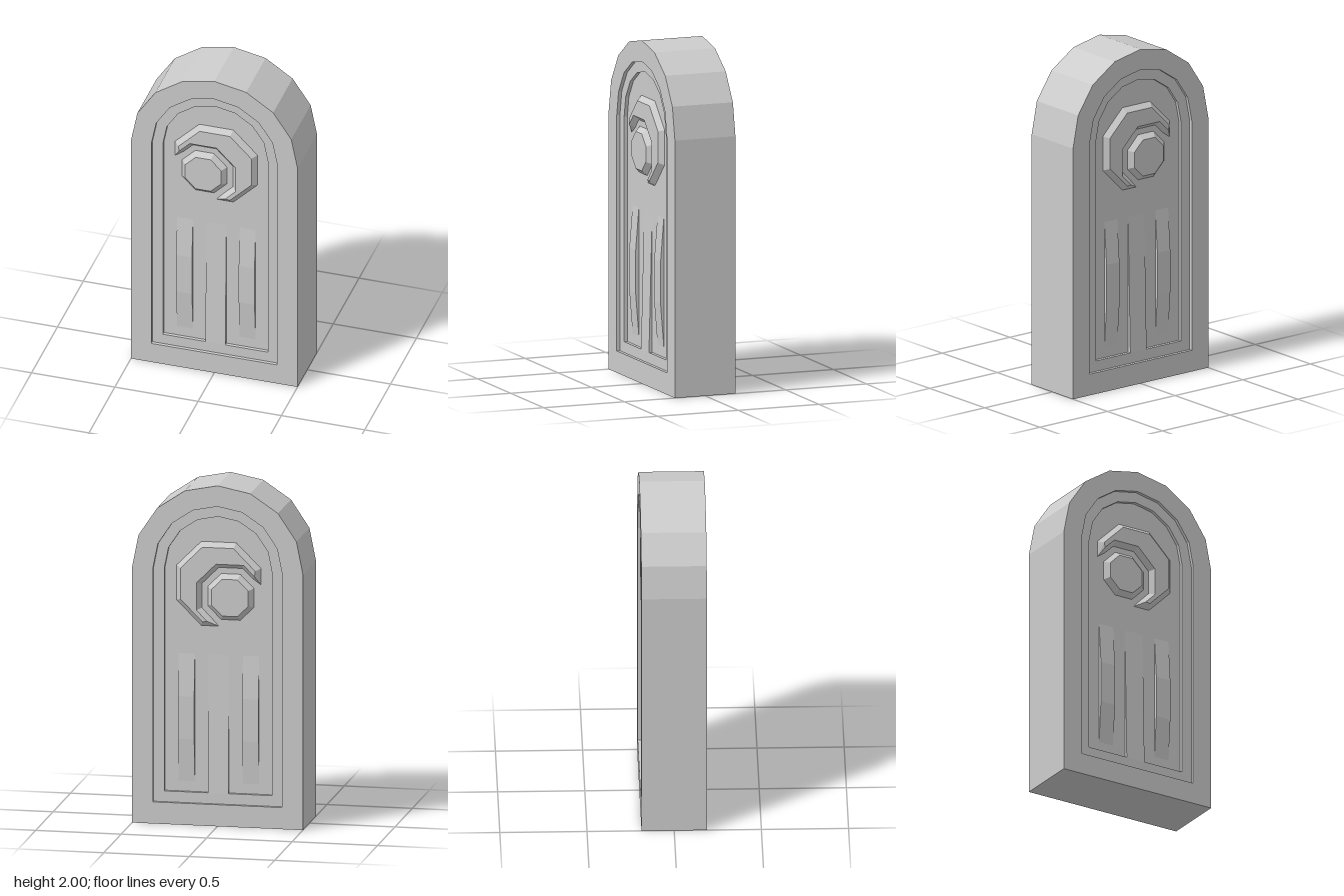
import * as THREE from 'three';

const HALF = 0.1875, STEP = 0.02, RELIEF = 0.03;
const PANEL_Z = HALF - 2 * STEP;
const material = new THREE.MeshStandardMaterial({ color: 0xcccccc, flatShading: true });

function mesh(name, geometry) {
  const m = new THREE.Mesh(geometry, material);
  m.name = name;
  return m;
}

// Outline of an arch: straight sides up to y = 1.5, then a half circle in 8 steps
function archPoints(r, bottom) {
  const pts = [new THREE.Vector2(-r, bottom), new THREE.Vector2(r, bottom)];
  for (let i = 0; i <= 8; i++) {
    const a = (i / 8) * Math.PI;
    pts.push(new THREE.Vector2(r * Math.cos(a), 1.5 + r * Math.sin(a)));
  }
  return pts;
}

function archSlab(name, outer, hole, half) {
  const shape = new THREE.Shape(outer);
  if (hole) shape.holes.push(new THREE.Path(hole));
  const g = new THREE.ExtrudeGeometry(shape, { depth: 2 * half, bevelEnabled: false });
  return mesh(name, g.translate(0, 0, -half));
}

// Vertical strip on the panel; profile holds [y, height above panel]
function strip(name, x, width, profile) {
  const pts = profile.map(([y, h]) => new THREE.Vector2(h, y));
  const g = new THREE.ExtrudeGeometry(new THREE.Shape(pts), { depth: width, bevelEnabled: false });
  g.translate(0, 0, -width / 2).rotateY(-Math.PI / 2).translate(x, 0, PANEL_Z);
  return mesh(name, g);
}

// Corner k of an octagon with flat top, counted from the lower right
function corner(cx, cy, apothem, k) {
  const a = (k * 45 - 67.5) * Math.PI / 180, r = apothem / Math.cos(Math.PI / 8);
  return new THREE.Vector2(cx + r * Math.cos(a), cy + r * Math.sin(a));
}

const DISC = [-0.07, 1.342];

// Crescent with sloped rims, lofted through cross-sections that close at both tips
function crescent(side) {
  const outer = (a, k) => corner(0, 1.414, a, k);
  const inner = (a, k) => {
    const p = corner(...DISC, a, k);
    if (k === 0) p.lerp(corner(...DISC, a, 1), 0.45);
    if (k === 5) p.lerp(corner(...DISC, a, 4), 0.45);
    return p;
  };
  const tip = (x, y) => Array.from({ length: 4 }, () => [x, y, 0]);
  const sections = [tip(0, 1.167)];
  for (let k = 0; k < 6; k++) {
    sections.push([
      [...outer(0.247, k), 0], [...outer(0.219, k), RELIEF],
      [...inner(0.195, k), RELIEF], [...inner(0.17, k), 0],
    ]);
  }
  sections.push(tip(-0.247, 1.42));

  const pos = [];
  const tri = (a, b, c) => {
    for (const [x, y, z] of side > 0 ? [a, b, c] : [a, c, b]) pos.push(x * side, y, z + PANEL_Z);
  };
  for (let i = 0; i < sections.length - 1; i++) {
    const s = sections[i], t = sections[i + 1];
    for (let j = 0; j < 3; j++) {
      if (i > 0) tri(s[j], t[j], s[j + 1]);
      if (i < sections.length - 2) tri(t[j], t[j + 1], s[j + 1]);
    }
  }
  const g = new THREE.BufferGeometry();
  g.setAttribute('position', new THREE.Float32BufferAttribute(pos, 3));
  g.computeVertexNormals();
  return mesh('crescent', g);
}

// Raised octagonal disc inside the crescent
function disc(side) {
  const c = Math.cos(Math.PI / 8);
  const g = new THREE.CylinderGeometry(0.108 / c, 0.135 / c, RELIEF, 8, 1, false, Math.PI / 8);
  g.rotateX(Math.PI / 2).translate(DISC[0] * side, DISC[1], PANEL_Z + RELIEF / 2);
  return mesh('disc', g);
}

// All carving on one face; side = -1 mirrors the emblem for the back
function carving(name, side) {
  const group = new THREE.Group();
  group.name = name;
  group.add(crescent(side), disc(side));
  group.add(strip('centreWedge', 0, 0.12, [[0.19, 0], [0.19, STEP], [1.0, 0]]));
  for (const x of [-0.188, 0.188]) {
    group.add(strip('raisedBar', x, 0.095, [[0.25, 0], [0.5, STEP], [0.75, STEP], [1.0, 0]]));
  }
  return group;
}

export function createModel() {
  const model = new THREE.Group();
  model.name = 'archedStone';
  const outline = archPoints(0.5, 0), ledge = archPoints(0.378, 0.127), recess = archPoints(0.315, 0.19);

  // Stepped body, deepest in the middle
  model.add(
    archSlab('outerFrame', outline, ledge, HALF),
    archSlab('innerFrame', ledge, recess, HALF - STEP),
    archSlab('panel', recess, null, PANEL_Z),
  );

  // Same carving on front and back
  const back = carving('backCarving', -1);
  back.rotation.y = Math.PI;
  model.add(carving('frontCarving', 1), back);
  return model;
}
